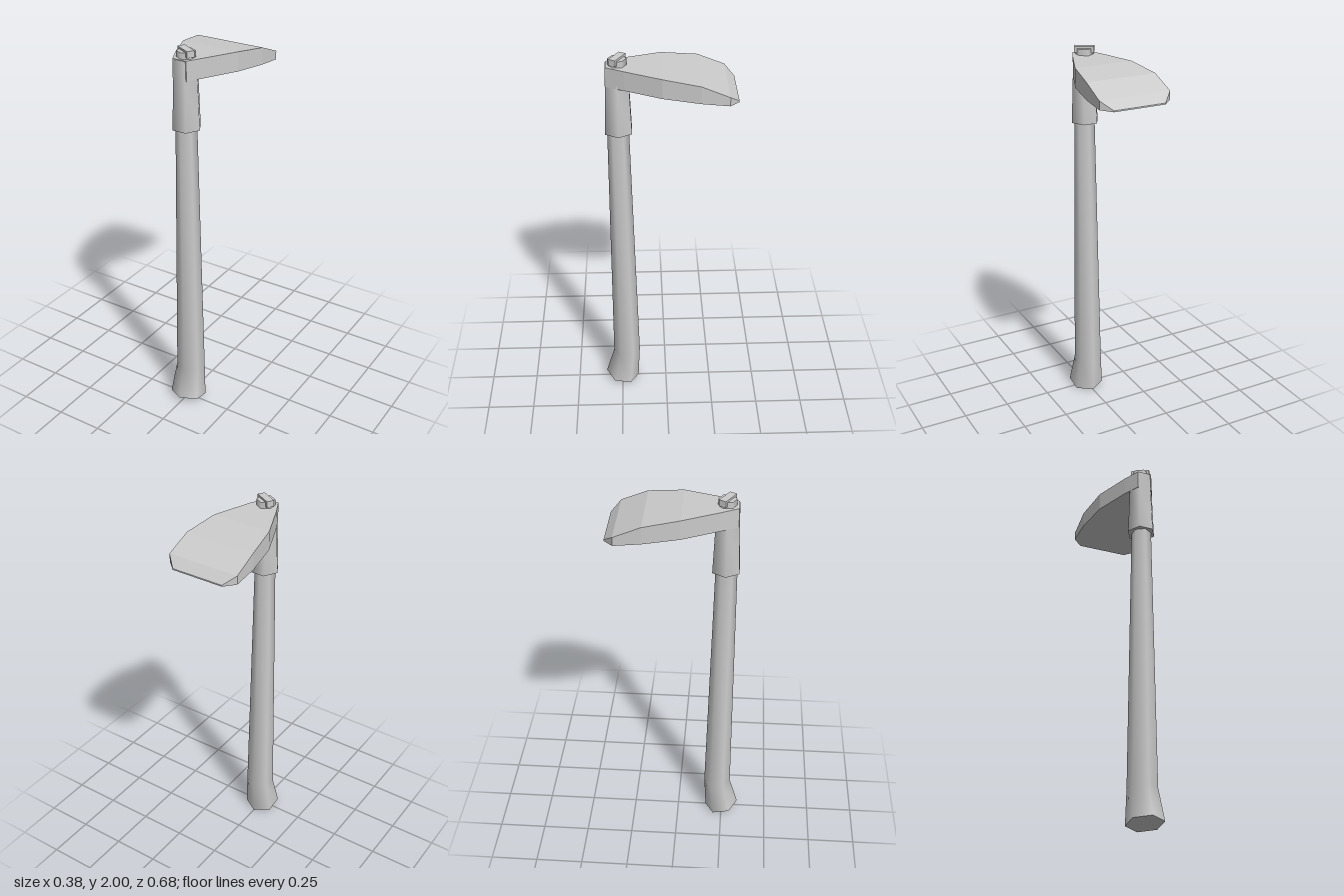
import * as THREE from 'three';

const material = new THREE.MeshStandardMaterial({ color: 0xcccccc });
const flatMaterial = new THREE.MeshStandardMaterial({ color: 0xcccccc, flatShading: true });

// Skin over rings of equal point count; end caps get their own vertices to stay crisp.
function loft(rings) {
  const n = rings[0].length;
  const last = rings.length - 1;
  const points = [...rings.flat(), ...rings[0], ...rings[last]];
  const index = [];
  for (let r = 0; r < last; r++) {
    for (let i = 0; i < n; i++) {
      const a = r * n + i;
      const b = r * n + (i + 1) % n;
      index.push(a, b, a + n, b, b + n, a + n);
    }
  }
  const start = (last + 1) * n;
  const end = start + n;
  for (let i = 1; i < n - 1; i++) {
    index.push(start, start + i + 1, start + i, end, end + i, end + i + 1);
  }
  const geometry = new THREE.BufferGeometry();
  geometry.setAttribute('position', new THREE.Float32BufferAttribute(points.flat(), 3));
  geometry.setIndex(index);
  geometry.computeVertexNormals();
  return geometry;
}

// Hexagonal ring at height y; tilt raises the front of the ring.
function hexRing(y, z, radiusX, radiusZ, turn = 0, tilt = 0) {
  return Array.from({ length: 6 }, (_, i) => {
    const a = turn + i * Math.PI / 3;
    const dz = Math.cos(a) * radiusZ;
    return [Math.sin(a) * radiusX, y + dz * tilt, z + dz];
  });
}

export function createModel() {
  const group = new THREE.Group();
  function add(name, geometry, mat = material) {
    const mesh = new THREE.Mesh(geometry, mat);
    mesh.name = name;
    group.add(mesh);
    return mesh;
  }

  // Handle: tapered hexagonal shaft with a flared, slanted butt
  add('handle', loft([
    hexRing(0.022, 0.25, 0.095, 0.091, 0, 0.2),
    hexRing(0.2, 0.222, 0.076, 0.073),
    hexRing(1.6, 0.235, 0.052, 0.054),
    hexRing(1.99, 0.231, 0.046, 0.045),
  ]));

  // Socket: collar with a flat side to the front
  const flat = Math.PI / 6;
  add('socket', loft([
    hexRing(1.605, 0.233, 0.075, 0.077, flat),
    hexRing(1.86, 0.234, 0.065, 0.066, flat),
    hexRing(1.957, 0.234, 0.063, 0.064, flat),
  ]));

  // Blade: stations of [z, half width, top, bottom] from socket to cutting edge
  const stations = [
    [0.287, 0.038, 1.96, 1.86],
    [0.235, 0.064, 1.959, 1.86],
    [0.2, 0.081, 1.958, 1.86],
    [0.02, 0.157, 1.95, 1.852],
    [-0.16, 0.187, 1.925, 1.838],
    [-0.295, 0.19, 1.87, 1.826],
    [-0.342, 0.138, 1.828, 1.821],
  ];
  add('blade', loft(stations.map(([z, w, top, bottom]) => [
    [-w, top, z], [w, top, z], [w, bottom, z], [-w, bottom, z],
  ])), flatMaterial);

  // Wedge driven into the handle top
  const wedge = add('wedge', new THREE.BoxGeometry(0.1, 0.032, 0.038));
  wedge.position.set(0, 1.984, 0.231);
  wedge.rotation.y = -Math.PI / 6;

  return group;
}
